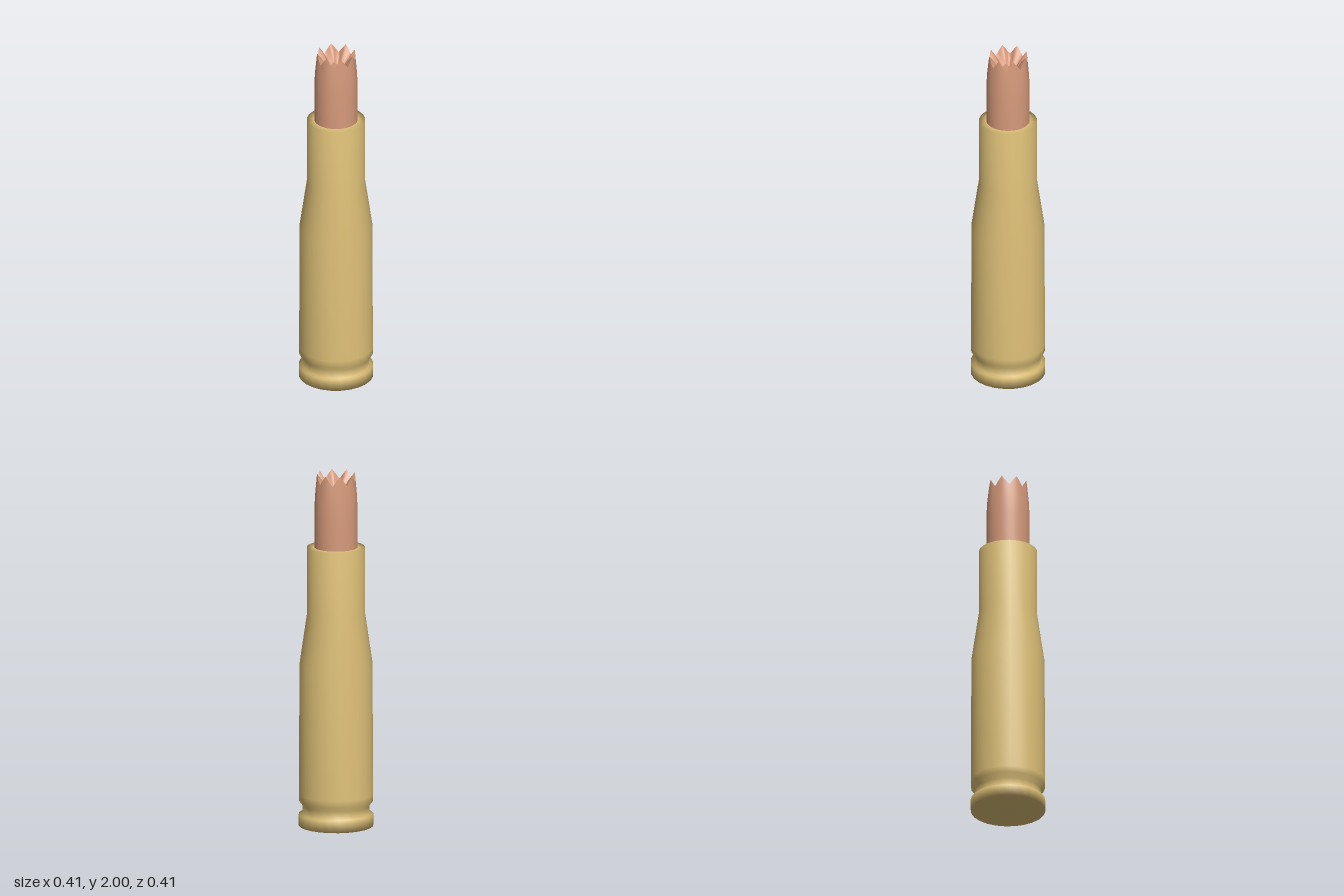
import * as THREE from 'three';
import { mergeVertices } from 'three/addons/utils/BufferGeometryUtils.js';

const brass = new THREE.MeshStandardMaterial({ color: 0xdfc178 });
const copper = new THREE.MeshStandardMaterial({ color: 0xd69a7b });
brass.name = 'brass';
copper.name = 'copper';

const TEETH = 8;

// Turned surface; rows are [radius, height, notchDepth], listed bottom to top on the outside
function turned(name, rows, segments, material) {
  const lathe = new THREE.LatheGeometry(rows.map(([r, y]) => new THREE.Vector2(r, y)), segments);
  const pos = lathe.attributes.position;
  for (let i = 0; i < pos.count; i++) {
    const notch = rows[i % rows.length][2] || 0;
    if (!notch) continue;
    // 1 at the bottom of a notch, 0 at the tip of a tooth
    const turn = Math.floor(i / rows.length) / segments * TEETH;
    const depth = 1 - 2 * Math.abs(turn - Math.round(turn));
    pos.setY(i, pos.getY(i) - notch * depth);
  }
  lathe.deleteAttribute('uv');
  lathe.deleteAttribute('normal');
  const geometry = mergeVertices(lathe, 1e-5);
  geometry.computeVertexNormals();
  const mesh = new THREE.Mesh(geometry, material);
  mesh.name = name;
  return mesh;
}

export function createModel() {
  const model = new THREE.Group();
  model.name = 'cartridge';

  // Case: rim, extractor groove, body, shoulder, neck and mouth
  model.add(turned('case', [
    [0, 0], [0.207, 0], [0.207, 0.065], [0.185, 0.067], [0.185, 0.115],
    [0.206, 0.142], [0.206, 0.18], [0.203, 0.92], [0.162, 1.2],
    [0.162, 1.58], [0.118, 1.58],
  ], 24, brass));

  // Bullet jacket with a notched top edge
  model.add(turned('bulletJacket', [
    [0.12, 1.56], [0.12, 1.64], [0.12, 1.76], [0.117, 1.87, 0.005], [0.107, 2, 0.055],
  ], 48, copper));

  // Crown of teeth sloping inward to the hollow point
  model.add(turned('bulletCrown', [
    [0.107, 2, 0.055], [0.08, 1.965, 0.04], [0.05, 1.91, 0.015],
  ], 48, copper));

  // Hollow cavity
  model.add(turned('hollowPoint', [
    [0.05, 1.91, 0.015], [0.043, 1.84], [0.028, 1.79], [0, 1.775],
  ], 48, copper));

  return model;
}
